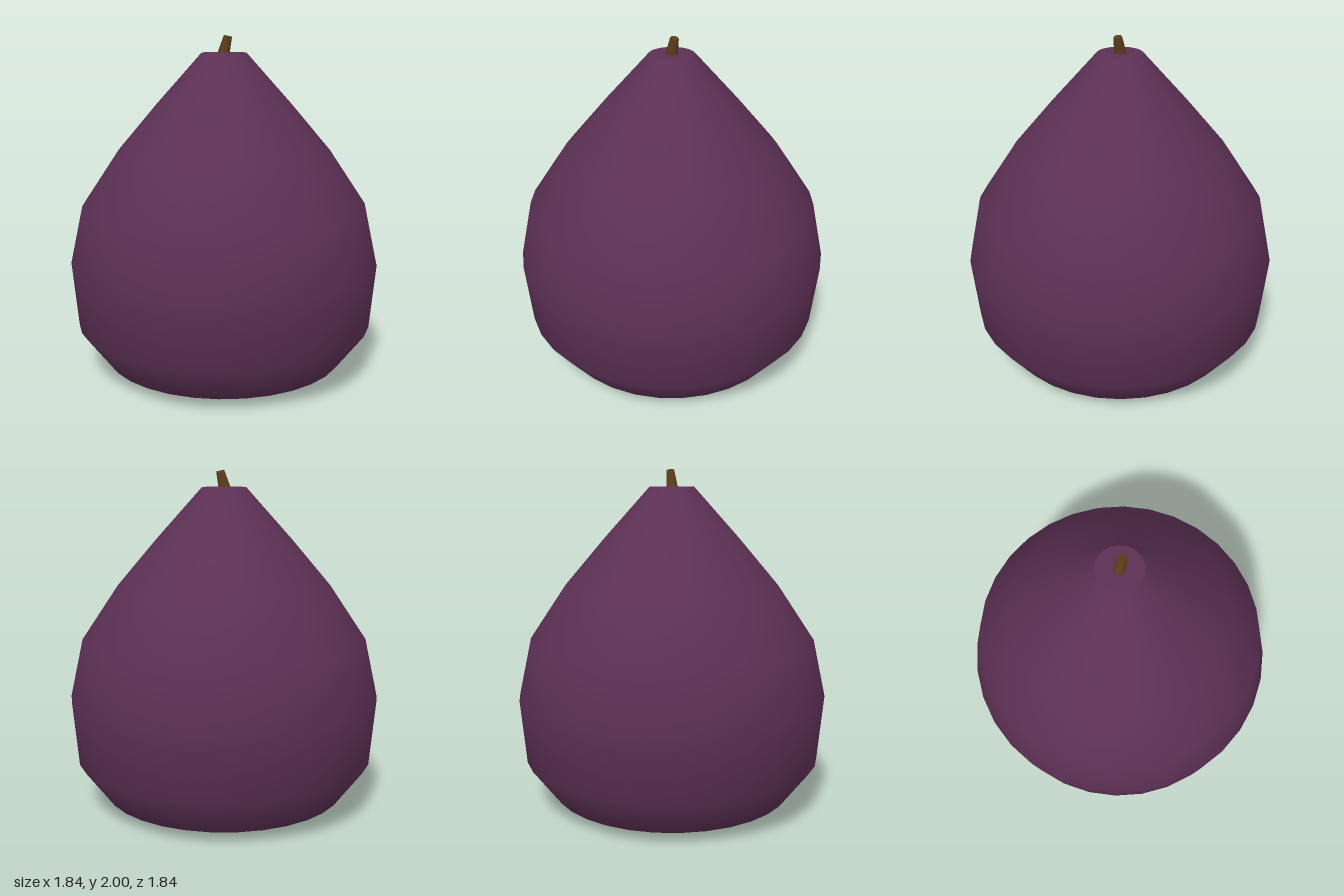
import * as THREE from 'three';

export function createModel() {
  const model = new THREE.Group();
  const skin = new THREE.MeshStandardMaterial({ color: 0x5c3054 });
  skin.name = 'purple skin';
  const wood = new THREE.MeshStandardMaterial({ color: 0x5c3d1a, flatShading: true });
  wood.name = 'brown stem';

  const SIDES = 32;
  const add = (name, geometry, material) => {
    const mesh = new THREE.Mesh(geometry, material);
    mesh.name = name;
    model.add(mesh);
    return mesh;
  };

  // Smooth fruit body, from the base rim up to the neck
  const profile = [
    [0.4, 0], [0.72, 0.07], [0.885, 0.29], [0.92, 0.67],
    [0.845, 1.01], [0.63, 1.33], [0.4, 1.6], [0.13, 1.9],
  ].map(([r, y]) => new THREE.Vector2(r, y));
  add('body', new THREE.LatheGeometry(profile, SIDES), skin);

  // Flat ends closing the body
  add('base', new THREE.CircleGeometry(0.4, SIDES).rotateX(Math.PI / 2), skin);
  add('crown', new THREE.CircleGeometry(0.13, SIDES).rotateX(-Math.PI / 2), skin).position.y = 1.9;

  // Short tapered stem leaning to the model's left
  const stem = add('stem', new THREE.CylinderGeometry(0.024, 0.037, 0.12, 8), wood);
  stem.position.set(0.008, 1.936, 0);
  stem.rotation.z = -0.25;

  return model;
}
